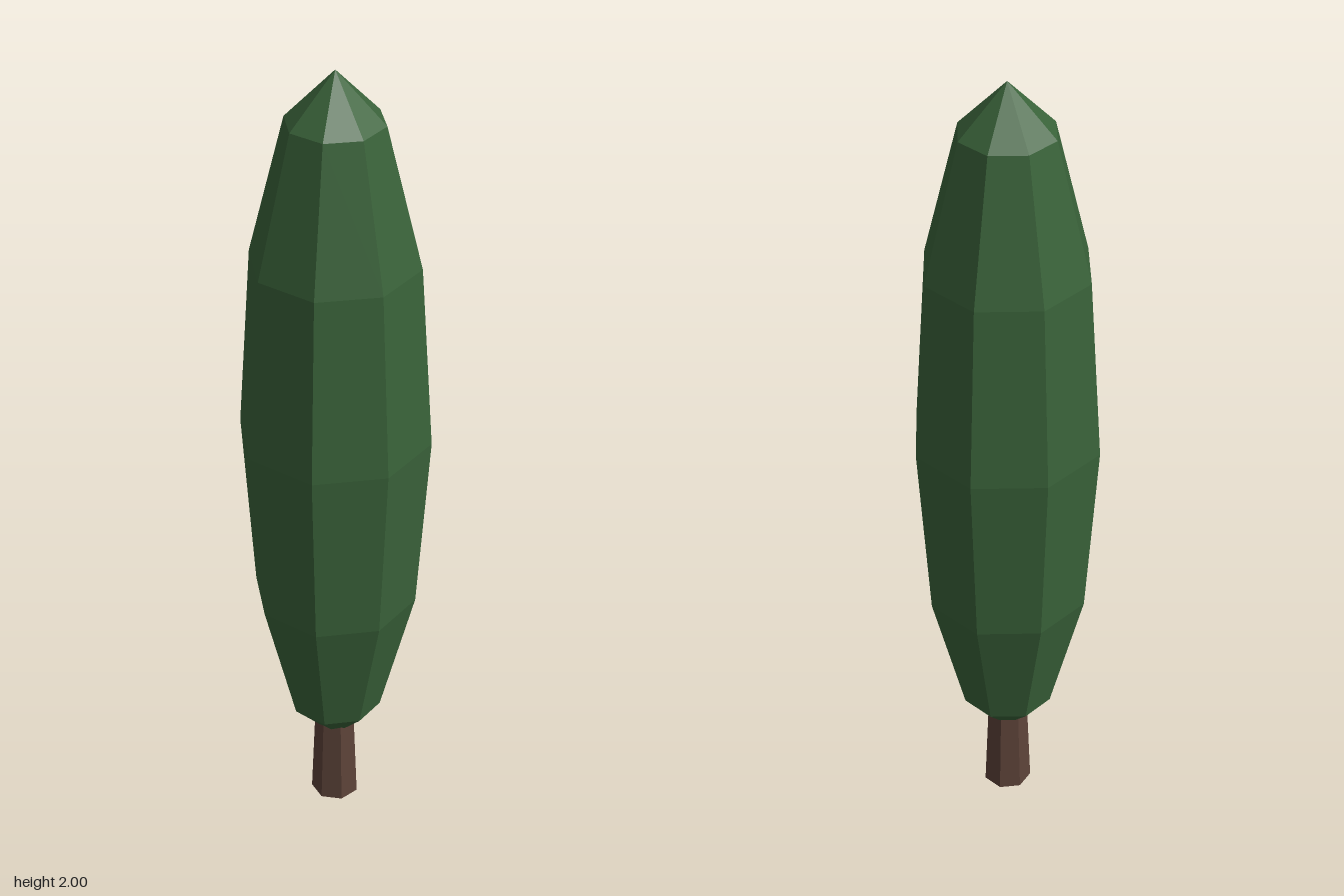
import * as THREE from 'three';

const leafGreen = new THREE.MeshStandardMaterial({ color: 0x3a633a, flatShading: true });
leafGreen.name = 'leafGreen';
const barkBrown = new THREE.MeshStandardMaterial({ color: 0x5d4339, flatShading: true });
barkBrown.name = 'barkBrown';

export function createModel() {
  const tree = new THREE.Group();
  tree.name = 'cypressTree';

  // Foliage: eight-sided spindle, flat sides facing the axes
  const toCorner = 1 / Math.cos(Math.PI / 8);
  const profile = [
    [0, 0.172], [0.106, 0.292], [0.184, 0.63], [0.212, 1.086],
    [0.184, 1.542], [0.106, 1.88], [0, 2],
  ].map(([r, y]) => new THREE.Vector2(r * toCorner, y));
  const foliage = new THREE.Mesh(new THREE.LatheGeometry(profile, 8, Math.PI / 8), leafGreen);
  foliage.name = 'foliage';
  tree.add(foliage);

  // Trunk: tapered seven-sided post, one corner towards -x
  const height = 0.25;
  const trunk = new THREE.Mesh(
    new THREE.CylinderGeometry(0.05, 0.06, height, 7, 1, false, -Math.PI / 2), barkBrown);
  trunk.position.y = height / 2;
  trunk.name = 'trunk';
  tree.add(trunk);

  return tree;
}
